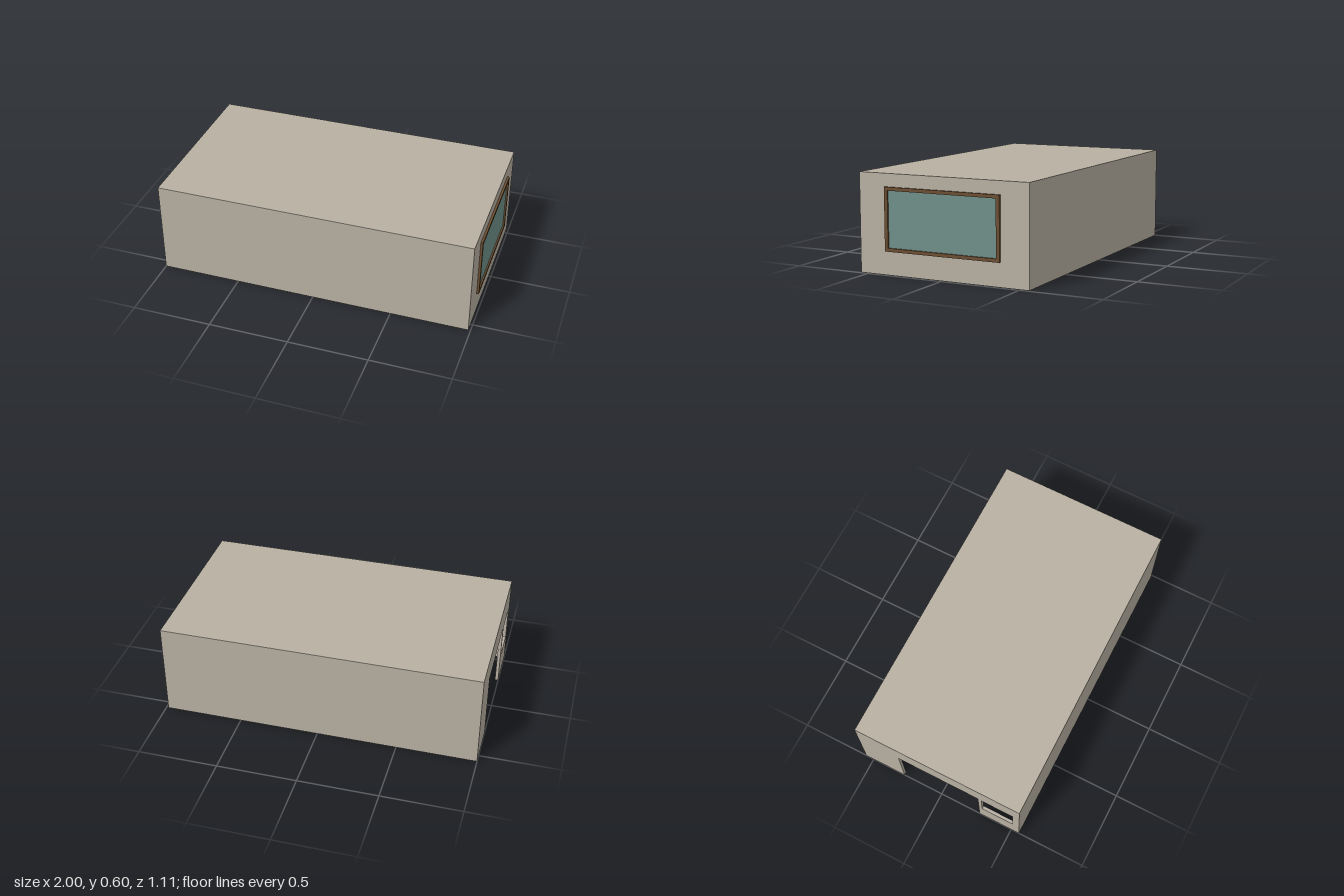
import * as THREE from 'three';

const T = 0.02;                       // wall thickness
const X0 = -1, X1 = 0.986, Z = 0.555; // outer faces of the shell
const H = 0.6, WALL_H = H - T;

// closed outline from [a, b] pairs
const outline = (pts, Type = THREE.Shape) => new Type(pts.map(p => new THREE.Vector2(...p)));
const rect = (a0, b0, a1, b1, Type) => outline([[a0, b0], [a1, b0], [a1, b1], [a0, b1]], Type);

// wall with a doorway cut up from the floor, from a0 to a1
const doorWall = (start, end, a0, a1, h) =>
  outline([[start, 0], [a0, 0], [a0, h], [a1, h], [a1, 0], [end, 0], [end, WALL_H], [start, WALL_H]]);

export function createModel() {
  const model = new THREE.Group();
  const plaster = new THREE.MeshStandardMaterial({ color: 0xb8b0a2 });
  const wood = new THREE.MeshStandardMaterial({ color: 0x6b4d30 });
  const glass = new THREE.MeshStandardMaterial({ color: 0x6f8f89 });
  plaster.name = 'plaster';
  wood.name = 'wood';
  glass.name = 'glass';

  const add = (name, geometry, material) => {
    const mesh = new THREE.Mesh(geometry, material);
    mesh.name = name;
    model.add(mesh);
  };
  // box given by its two extreme corners
  const box = (name, x0, y0, z0, x1, y1, z1, material = plaster) =>
    add(name, new THREE.BoxGeometry(x1 - x0, y1 - y0, z1 - z0)
      .translate((x0 + x1) / 2, (y0 + y1) / 2, (z0 + z1) / 2), material);
  // panel drawn in (z, y), extruded from x0 to x1
  const sidePanel = (name, shape, x0, x1, material = plaster) =>
    add(name, new THREE.ExtrudeGeometry(shape, { depth: x1 - x0, bevelEnabled: false })
      .rotateY(-Math.PI / 2).translate(x1, 0, 0), material);

  // shell
  box('roof', X0, WALL_H, -Z, X1, H, Z);
  box('frontWall', X0, 0, Z - T, X1, WALL_H, Z);
  box('backWall', X0, 0, -Z, X1, WALL_H, -Z + T);

  // left wall with doorway and small open window
  const left = doorWall(-Z + T, Z - T, -0.272, 0.275, 0.42);
  left.holes.push(rect(0.298, 0.19, 0.51, 0.412, THREE.Path));
  sidePanel('leftWall', left, X0, X0 + T);

  // right wall with the large framed window
  const right = rect(-Z + T, 0, Z - T, WALL_H);
  right.holes.push(rect(-0.355, 0.163, 0.355, 0.501, THREE.Path));
  sidePanel('rightWall', right, X1 - T, X1);
  const frame = rect(-0.377, 0.142, 0.377, 0.522);
  frame.holes.push(rect(-0.355, 0.163, 0.355, 0.501, THREE.Path));
  sidePanel('windowFrame', frame, X1, 1, wood);
  box('windowGlass', X1 - 0.004, 0.163, -0.355, X1 + 0.004, 0.501, 0.355, glass);

  // small inner room against the back wall
  const roomX0 = -0.745, roomX1 = -0.156, roomZ = -0.127;
  box('roomLeftWall', roomX0, 0, -Z + T, roomX0 + T, WALL_H, roomZ - T);
  box('roomRightWall', roomX1 - T, 0, -Z + T, roomX1, WALL_H, roomZ - T);
  add('roomFrontWall', new THREE.ExtrudeGeometry(
    doorWall(roomX0, roomX1, -0.6, -0.43, 0.42), { depth: T, bevelEnabled: false })
    .translate(0, 0, roomZ - T), plaster);

  return model;
}
